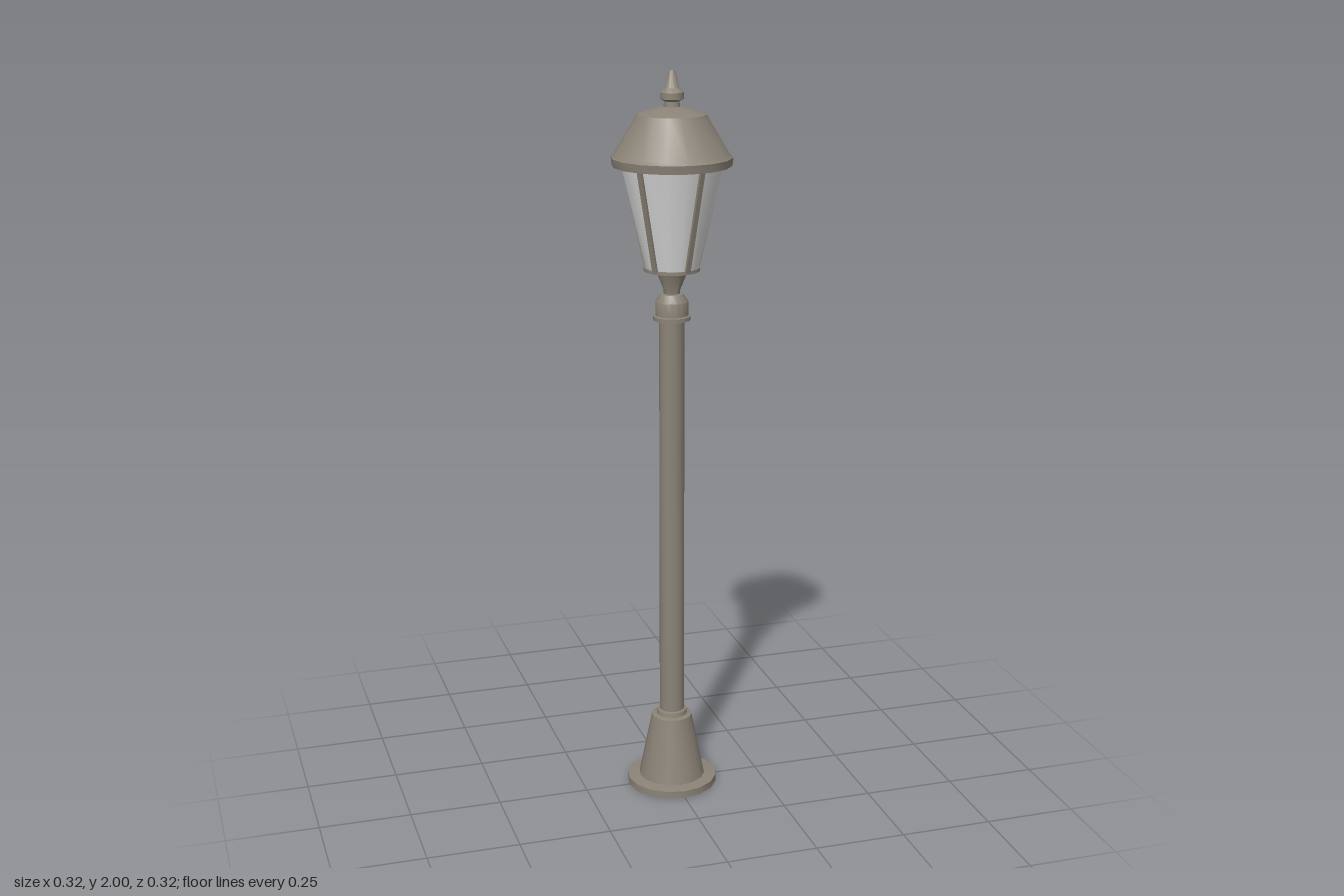
import * as THREE from 'three';
import { toCreasedNormals } from 'three/addons/utils/BufferGeometryUtils.js';

const SIDES = 16;

export function createModel() {
  const model = new THREE.Group();
  model.name = 'streetLamp';

  const metal = new THREE.MeshStandardMaterial({ color: 0x8b8377 });
  metal.name = 'warm grey metal';
  const glass = new THREE.MeshStandardMaterial({ color: 0xdcdcdc });
  glass.name = 'frosted glass';

  // Turned part from a bottom-to-top list of [radius, height]
  function turned(name, profile, material = metal) {
    const points = profile.map(([r, y]) => new THREE.Vector2(r, y));
    const geometry = toCreasedNormals(new THREE.LatheGeometry(points, SIDES), 0.7);
    const mesh = new THREE.Mesh(geometry, material);
    mesh.name = name;
    model.add(mesh);
  }

  // Flanged foot with tapered pedestal
  turned('base', [
    [0, 0], [0.125, 0], [0.125, 0.02], [0.092, 0.024],
    [0.056, 0.205], [0.043, 0.208], [0.041, 0.22], [0.034, 0.222],
  ]);

  turned('pole', [[0.034, 0.2], [0.034, 1.35]]);

  // Collar on the pole top
  turned('collar', [
    [0.034, 1.343], [0.05, 1.345], [0.05, 1.356], [0.044, 1.358],
    [0.044, 1.395], [0.03, 1.415], [0, 1.42],
  ]);

  // Flared neck and the tray holding the glass
  turned('lanternNeck', [
    [0.022, 1.405], [0.022, 1.425], [0.042, 1.476],
    [0.075, 1.478], [0.075, 1.487], [0, 1.487],
  ]);

  turned('lanternGlass', [[0.07, 1.485], [0.137, 1.765]], glass);

  // Five slanted glazing bars around the glass
  const low = 1.482, high = 1.765;
  const lowRadius = 0.071, highRadius = 0.138;
  const barLength = Math.hypot(high - low, highRadius - lowRadius);
  const barGeometry = new THREE.BoxGeometry(0.008, barLength, 0.014);
  for (let i = 0; i < 5; i++) {
    const holder = new THREE.Group();
    holder.name = 'glazingBarHolder' + (i + 1);
    holder.rotation.y = (i * Math.PI * 2) / 5;
    const bar = new THREE.Mesh(barGeometry, metal);
    bar.name = 'glazingBar' + (i + 1);
    bar.position.set((lowRadius + highRadius) / 2, (low + high) / 2, 0);
    bar.rotation.z = -Math.atan2(highRadius - lowRadius, high - low);
    holder.add(bar);
    model.add(holder);
  }

  // Domed cap with a straight rim
  turned('roof', [
    [0, 1.76], [0.135, 1.76], [0.157, 1.755], [0.16, 1.777], [0.152, 1.785],
    [0.09, 1.887], [0.03, 1.906], [0, 1.908],
  ]);

  // Finial with bead and tapered tip
  turned('finial', [
    [0.022, 1.9], [0.02, 1.92], [0.031, 1.926], [0.031, 1.943], [0.022, 1.952],
    [0.019, 1.955], [0.011, 1.99], [0.007, 1.998], [0, 2],
  ]);

  return model;
}
